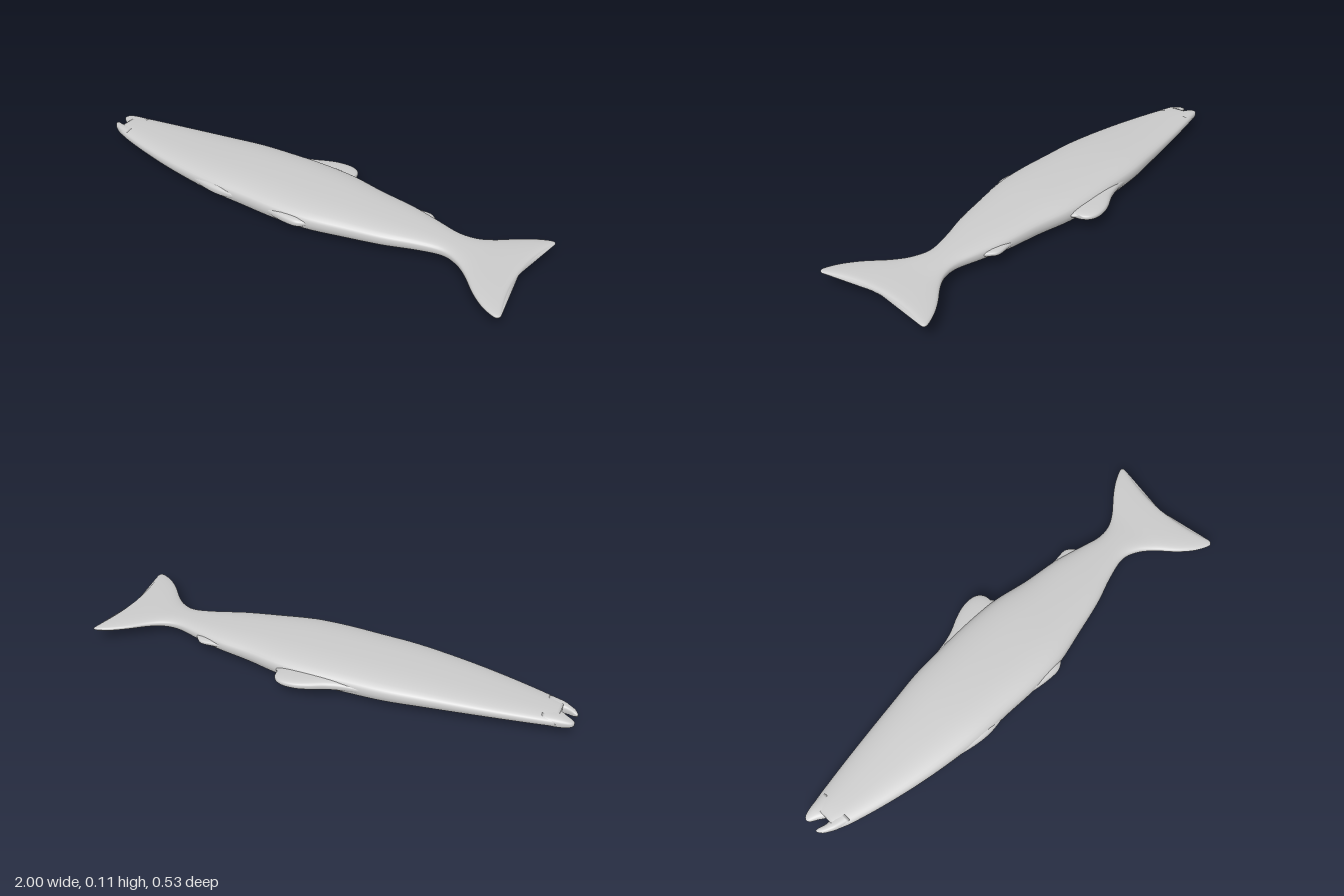
import * as THREE from 'three';

const MID_Y = 0.0575;
const POWER = 2.7;
const SIDES = 36;

const roundPow = (v) => Math.sign(v) * Math.abs(v) ** (2 / POWER);

// Hollows the trailing edge of the tail between its two lobes
function tailFork(x, z) {
  const k = THREE.MathUtils.smoothstep(x, 0.78, 1);
  return x - k * 0.043 * Math.max(0, 1 - (z / 0.25) ** 2);
}

// Smooth closed skin along x; each station is [x, zMin, zMax, halfThickness]
function loft(stations, steps) {
  const edges = new THREE.CatmullRomCurve3(
    stations.map(([x, a, b]) => new THREE.Vector3(x, a, b)), false, 'catmullrom');
  const thickness = new THREE.CatmullRomCurve3(
    stations.map((s) => new THREE.Vector3(s[3], 0, 0)), false, 'catmullrom');
  const pos = [];
  const index = [];
  const ends = [];
  for (let i = 0; i <= steps; i++) {
    const { x, y: zMin, z: zMax } = edges.getPoint(i / steps);
    const h = thickness.getPoint(i / steps).x;
    const mid = (zMin + zMax) / 2;
    const half = (zMax - zMin) / 2;
    for (let j = 0; j < SIDES; j++) {
      const a = (j / SIDES) * Math.PI * 2;
      const z = mid + half * roundPow(Math.cos(a));
      pos.push(tailFork(x, z), MID_Y + h * roundPow(Math.sin(a)), z);
    }
    if (i === 0 || i === steps) ends.push([tailFork(x, mid), MID_Y, mid]);
  }
  const at = (i, j) => i * SIDES + (j % SIDES);
  const first = (steps + 1) * SIDES;
  pos.push(...ends[0], ...ends[1]);
  for (let j = 0; j < SIDES; j++) {
    for (let i = 0; i < steps; i++) {
      index.push(at(i, j), at(i + 1, j), at(i, j + 1));
      index.push(at(i, j + 1), at(i + 1, j), at(i + 1, j + 1));
    }
    index.push(first, at(0, j), at(0, j + 1));
    index.push(first + 1, at(steps, j + 1), at(steps, j));
  }
  const geometry = new THREE.BufferGeometry();
  geometry.setAttribute('position', new THREE.Float32BufferAttribute(pos, 3));
  geometry.setIndex(index);
  geometry.computeVertexNormals();
  return geometry;
}

export function createModel() {
  const group = new THREE.Group();
  const material = new THREE.MeshStandardMaterial({ color: 0xcccccc });
  const add = (name, stations, steps) => {
    const mesh = new THREE.Mesh(loft(stations, steps), material);
    mesh.name = name;
    group.add(mesh);
  };

  // Body running into the forked tail
  add('bodyAndTail', [
    [-0.94, -0.072, 0.065, 0.022],
    [-0.88, -0.085, 0.088, 0.026],
    [-0.75, -0.11, 0.123, 0.031],
    [-0.6, -0.136, 0.155, 0.038],
    [-0.45, -0.16, 0.178, 0.046],
    [-0.3, -0.183, 0.193, 0.053],
    [-0.15, -0.192, 0.195, 0.0565],
    [0, -0.198, 0.198, 0.057],
    [0.15, -0.19, 0.188, 0.055],
    [0.3, -0.162, 0.153, 0.049],
    [0.45, -0.143, 0.115, 0.041],
    [0.57, -0.115, 0.073, 0.033],
    [0.67, -0.091, 0.05, 0.026],
    [0.74, -0.099, 0.072, 0.022],
    [0.8, -0.132, 0.12, 0.019],
    [0.87, -0.185, 0.19, 0.018],
    [0.93, -0.228, 0.242, 0.017],
    [0.975, -0.252, 0.264, 0.015],
    [0.993, -0.25, 0.262, 0.011],
    [1, -0.235, 0.245, 0.004],
  ], 95);

  // Jaws either side of the open mouth
  add('upperJaw', [
    [-1, -0.047, -0.036, 0.006],
    [-0.99, -0.058, -0.026, 0.012],
    [-0.965, -0.067, -0.012, 0.018],
    [-0.935, -0.073, 0.006, 0.022],
    [-0.88, -0.08, 0.02, 0.024],
  ], 20);
  add('lowerJaw', [
    [-1, 0.012, 0.022, 0.005],
    [-0.985, 0.013, 0.04, 0.012],
    [-0.96, 0.021, 0.055, 0.017],
    [-0.935, 0.022, 0.067, 0.021],
    [-0.88, 0.01, 0.083, 0.024],
  ], 20);

  // Fins along the back
  add('dorsalFin', [
    [-0.25, -0.184, -0.1, 0.012],
    [-0.15, -0.197, -0.1, 0.02],
    [-0.08, -0.217, -0.1, 0.022],
    [-0.02, -0.246, -0.1, 0.022],
    [0.03, -0.264, -0.1, 0.021],
    [0.08, -0.269, -0.1, 0.019],
    [0.115, -0.259, -0.1, 0.016],
    [0.135, -0.237, -0.1, 0.012],
    [0.14, -0.21, -0.1, 0.01],
    [0.16, -0.18, -0.1, 0.008],
  ], 40);
  add('smallBackFin', [
    [0.4, -0.14, -0.05, 0.01],
    [0.47, -0.147, -0.05, 0.014],
    [0.52, -0.151, -0.05, 0.013],
    [0.545, -0.138, -0.05, 0.011],
    [0.57, -0.11, -0.05, 0.008],
  ], 20);

  // Fins along the belly
  add('frontBellyFin', [
    [-0.44, 0.1, 0.175, 0.014],
    [-0.34, 0.1, 0.196, 0.022],
    [-0.27, 0.1, 0.203, 0.024],
    [-0.21, 0.1, 0.198, 0.02],
    [-0.15, 0.1, 0.185, 0.012],
  ], 20);
  add('rearBellyFin', [
    [-0.06, 0.1, 0.19, 0.014],
    [0.03, 0.1, 0.205, 0.022],
    [0.1, 0.1, 0.21, 0.022],
    [0.135, 0.1, 0.203, 0.018],
    [0.17, 0.1, 0.178, 0.01],
  ], 20);

  return group;
}
